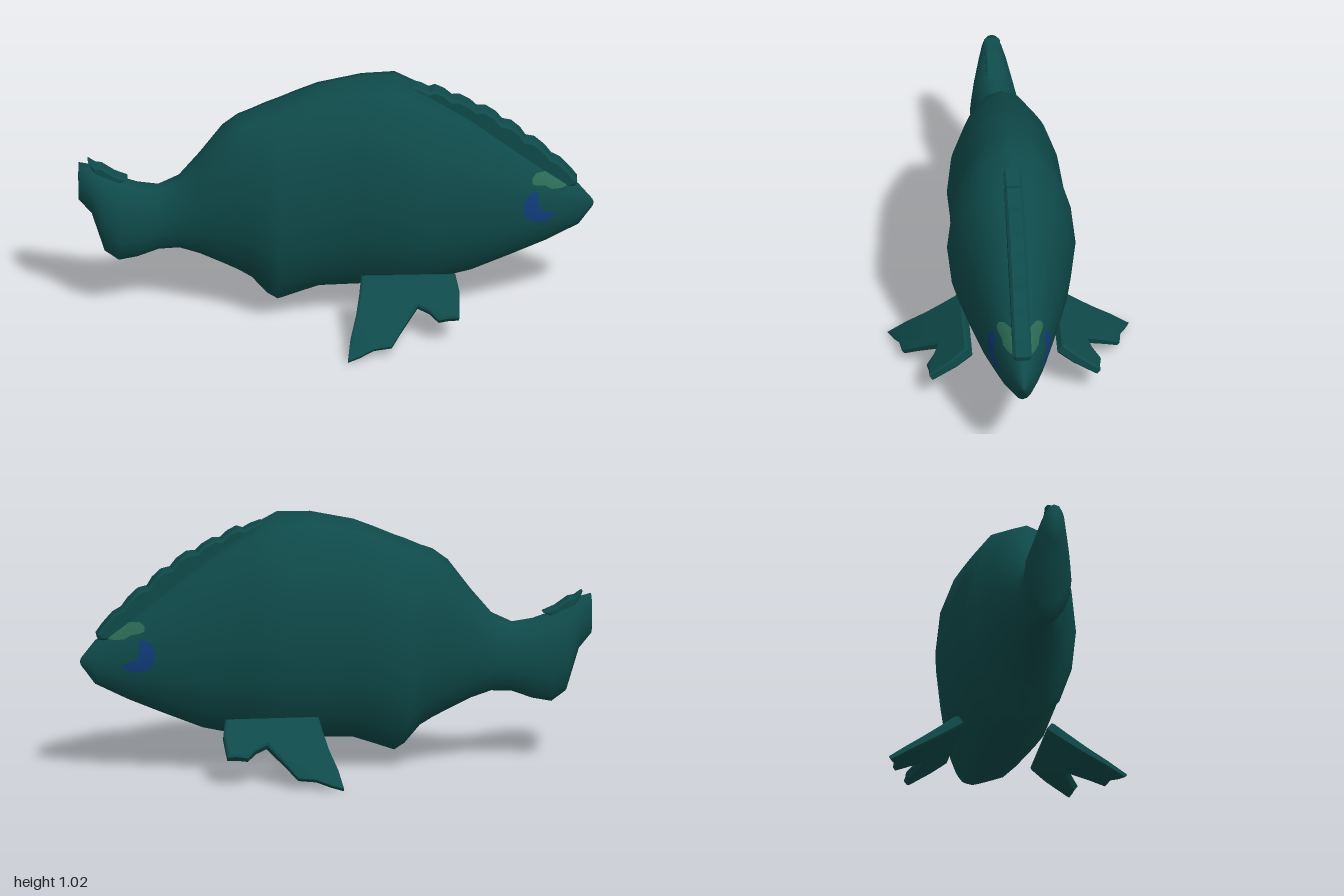
import * as THREE from 'three';
import { toCreasedNormals } from 'three/addons/utils/BufferGeometryUtils.js';

const SIDES = 16;

// Body stations: x, top, bottom, half width
const STATIONS = [
  [-1, 0.58, 0.58, 0], [-1, 0.66, 0.5, 0.04], [-0.95, 0.648, 0.44, 0.057],
  [-0.9, 0.62, 0.275, 0.08], [-0.845, 0.592, 0.235, 0.094], [-0.77, 0.567, 0.25, 0.085],
  [-0.69, 0.556, 0.28, 0.075], [-0.61, 0.595, 0.284, 0.08], [-0.53, 0.69, 0.258, 0.11],
  [-0.44, 0.81, 0.215, 0.145], [-0.38, 0.855, 0.185, 0.165], [-0.33, 0.873, 0.155, 0.188],
  [-0.27, 0.9, 0.085, 0.212], [-0.23, 0.915, 0.06, 0.222], [-0.15, 0.95, 0.088, 0.222],
  [-0.07, 0.982, 0.115, 0.222], [0.1, 1.018, 0.12, 0.228], [0.23, 1.02, 0.118, 0.25],
  [0.34, 0.962, 0.13, 0.228], [0.52, 0.845, 0.17, 0.178], [0.68, 0.718, 0.235, 0.132],
  [0.81, 0.615, 0.29, 0.093], [0.94, 0.528, 0.355, 0.045], [0.995, 0.46, 0.43, 0.008],
  [1, 0.445, 0.445, 0],
];

function bodyGeometry() {
  const pos = [], index = [];
  STATIONS.forEach(([x, top, bottom, w], r) => {
    for (let i = 0; i < SIDES; i++) {
      const a = (i / SIDES) * Math.PI * 2;
      pos.push(x, (top + bottom) / 2 + ((top - bottom) / 2) * Math.cos(a), w * Math.sin(a));
      if (r === STATIONS.length - 1) continue;
      const j = (i + 1) % SIDES, p = r * SIDES;
      index.push(p + i, p + j, p + SIDES + i, p + j, p + SIDES + j, p + SIDES + i);
    }
  });
  const g = new THREE.BufferGeometry();
  g.setAttribute('position', new THREE.Float32BufferAttribute(pos, 3));
  g.setIndex(index);
  g.computeVertexNormals();
  return g;
}

// Half width of the body at a given x and y
function bodyZ(x, y) {
  let k = 1;
  while (k < STATIONS.length - 2 && STATIONS[k + 1][0] < x) k++;
  const a = STATIONS[k], b = STATIONS[k + 1], t = (x - a[0]) / (b[0] - a[0]);
  const [, top, bottom, w] = a.map((v, i) => v + (b[i] - v) * t);
  const u = (y - (top + bottom) / 2) / ((top - bottom) / 2);
  return w * Math.sqrt(Math.max(0, 1 - u * u));
}

// Painted patch hugging the body, from columns of [x, top, bottom]
function patchGeometry(columns, side) {
  const rows = 6, pos = [], index = [];
  columns.forEach(([x, top, bottom], c) => {
    for (let r = 0; r <= rows; r++) {
      const y = top + ((bottom - top) * r) / rows;
      pos.push(x, y, side * (bodyZ(x, y) + 0.004));
      if (c === columns.length - 1 || r === rows) continue;
      const p = c * (rows + 1) + r, q = p + rows + 1;
      if (side > 0) index.push(p, p + 1, q, p + 1, q + 1, q);
      else index.push(p, q, p + 1, p + 1, q, q + 1);
    }
  });
  const g = new THREE.BufferGeometry();
  g.setAttribute('position', new THREE.Float32BufferAttribute(pos, 3));
  g.setIndex(index);
  g.computeVertexNormals();
  return g;
}

// Bevelled slab centred on its own plane
function slab(points, thickness, bevel) {
  const shape = new THREE.Shape(points.map(([x, y]) => new THREE.Vector2(x, y)));
  const g = new THREE.ExtrudeGeometry(shape, {
    depth: thickness - 2 * bevel, bevelEnabled: true, bevelThickness: bevel,
    bevelSize: bevel, bevelOffset: -bevel, bevelSegments: 1,
  });
  return g.translate(0, 0, bevel - thickness / 2);
}

export function createModel() {
  const group = new THREE.Group();
  const paint = (name, color) => {
    const m = new THREE.MeshStandardMaterial({ color });
    m.name = name;
    return m;
  };
  const teal = paint('dark teal', 0x0f4a4a);
  const green = paint('muted green', 0x2a6854);
  const blue = paint('deep blue', 0x103c78);
  const add = (name, geometry, material) => {
    const mesh = new THREE.Mesh(geometry, material);
    mesh.name = name;
    group.add(mesh);
  };

  add('body', bodyGeometry(), teal);

  // Serrated ridge running down the forehead
  const crest = [
    [0.29, 0.985], [0.33, 0.972], [0.36, 0.955], [0.385, 0.963], [0.42, 0.945], [0.45, 0.918],
    [0.48, 0.918], [0.52, 0.895], [0.545, 0.87], [0.58, 0.868], [0.62, 0.84], [0.645, 0.808],
    [0.68, 0.8], [0.715, 0.768], [0.735, 0.735], [0.77, 0.727], [0.81, 0.69], [0.835, 0.655],
    [0.87, 0.635], [0.91, 0.59], [0.935, 0.555], [0.93, 0.535], [0.9, 0.53], [0.8, 0.59],
    [0.67, 0.695], [0.51, 0.82], [0.34, 0.93], [0.27, 0.96],
  ];
  add('dorsalCrest', toCreasedNormals(slab(crest, 0.072, 0.01), 0.6), teal);

  // Small upper lobe on the tail
  const lobe = [[-0.965, 0.672], [-0.935, 0.652], [-0.91, 0.648], [-0.86, 0.613],
    [-0.81, 0.592], [-0.85, 0.575], [-0.9, 0.545], [-0.935, 0.61]];
  add('tailLobe', slab(lobe, 0.062, 0.008), teal);

  // Ragged pectoral fins, sloping down and out; outline is x against distance from the root
  const fin = [
    [0.09, -0.02], [0.455, -0.02], [0.47, 0.06], [0.465, 0.17], [0.43, 0.17], [0.385, 0.178],
    [0.35, 0.14], [0.305, 0.115], [0.27, 0.17], [0.235, 0.225], [0.2, 0.285], [0.13, 0.295],
    [0.075, 0.325], [0.027, 0.345], [0.04, 0.25], [0.065, 0.15], [0.08, 0.06],
  ];
  for (const side of [1, -1]) {
    const g = slab(fin, 0.046, 0.008), p = g.attributes.position;
    for (let i = 0; i < p.count; i++) p.setZ(i, p.getZ(i) * (1 - 1.7 * Math.max(0, p.getY(i))));
    const along = new THREE.Vector3(1, 0, 0);
    const out = new THREE.Vector3(0, -0.6, 0.8 * side);
    const basis = new THREE.Matrix4().makeBasis(along, out, along.clone().cross(out));
    basis.setPosition(0, 0.215, 0.19 * side);
    g.applyMatrix4(basis);
    add(side > 0 ? 'rightPectoralFin' : 'leftPectoralFin', toCreasedNormals(g, 0.6), teal);

    // Brow patch and crescent eye on each cheek
    const brow = [[0.758, 0.597, 0.578], [0.775, 0.61, 0.568], [0.81, 0.605, 0.56],
      [0.835, 0.59, 0.543], [0.87, 0.568, 0.538], [0.893, 0.555, 0.54]];
    const eye = [[0.722, 0.5, 0.465], [0.735, 0.53, 0.44], [0.755, 0.542, 0.425],
      [0.778, 0.545, 0.418], [0.785, 0.475, 0.416], [0.81, 0.458, 0.418], [0.842, 0.45, 0.432]];
    add('brow', patchGeometry(brow, side), green);
    add('eye', patchGeometry(eye, side), blue);
  }
  return group;
}
